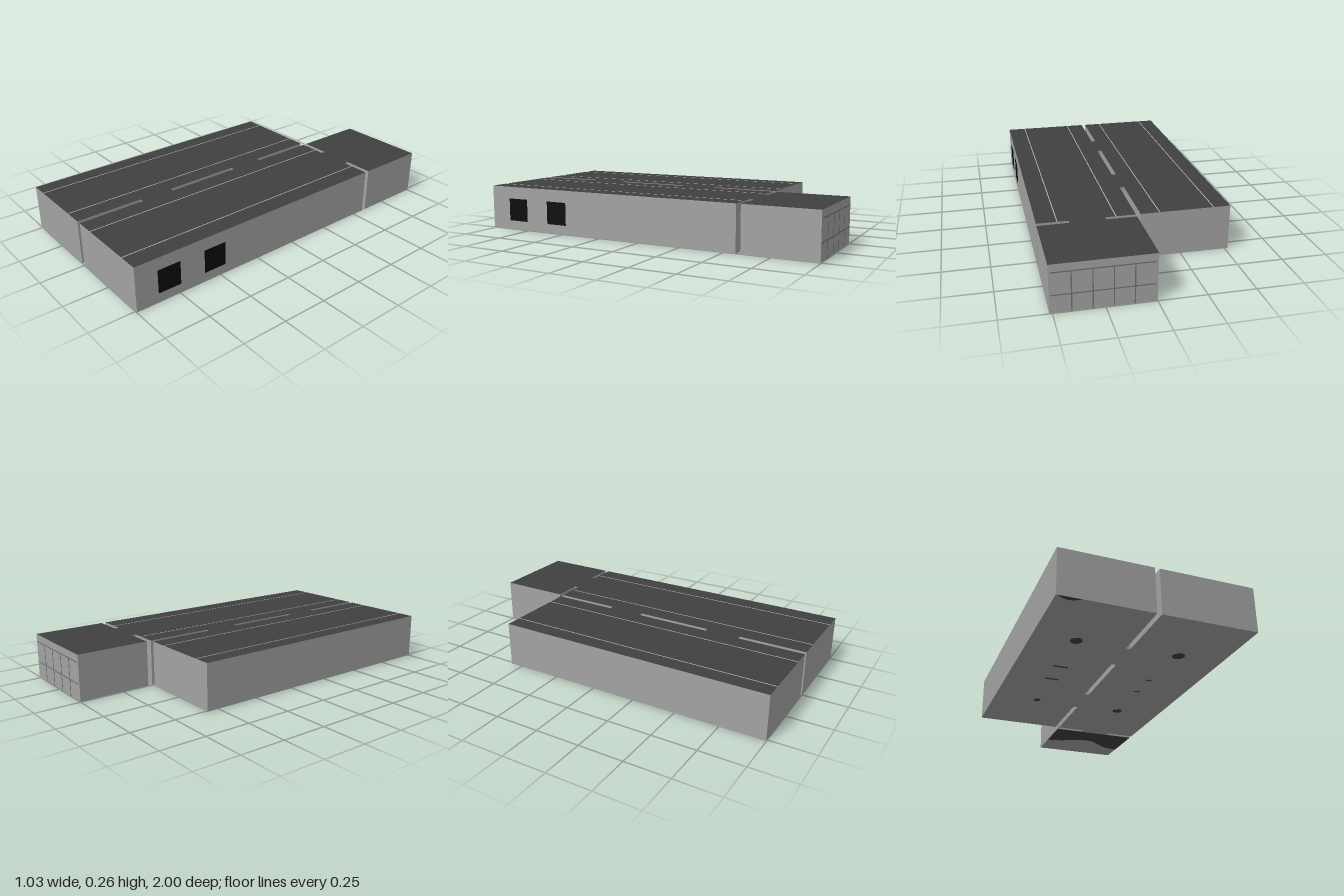
import * as THREE from 'three';

export function createModel() {
  const model = new THREE.Group();
  const mat = (name, color) => {
    const m = new THREE.MeshStandardMaterial({ color });
    m.name = name;
    return m;
  };
  const wall = mat('wall grey', 0xa3a3a3);
  const roof = mat('roof charcoal', 0x404040);
  const black = mat('window black', 0x0c0c0c);
  const seam = mat('seam grey', 0x707070);
  const pale = mat('joint pale grey', 0xb8b8b8);

  const BASE = 0.002, TOP = 0.254;

  const add = (name, geometry, material) => {
    const mesh = new THREE.Mesh(geometry, material);
    mesh.name = name;
    model.add(mesh);
    return mesh;
  };
  // box given by its limits
  const box = (name, x0, x1, y0, y1, z0, z1, material) => {
    const mesh = add(name, new THREE.BoxGeometry(x1 - x0, y1 - y0, z1 - z0), material);
    mesh.position.set((x0 + x1) / 2, (y0 + y1) / 2, (z0 + z1) / 2);
    return mesh;
  };

  // halls and the links between them: grey walls with a charcoal roof face
  const faces = [wall, wall, roof, wall, wall, wall];
  const block = (name, x0, x1, z0, z1) => box(name, x0, x1, BASE, TOP, z0, z1, faces);
  block('rightHall', -0.515, -0.025, -0.57, 1);
  block('leftHall', 0, 0.515, -0.57, 1);
  block('rearHall', 0, 0.515, -1, -0.595);
  block('sideLink', -0.025, 0, -0.2, 0);
  block('sideLink', -0.025, 0, 0.43, 0.625);
  block('rearLink', 0.16, 0.35, -0.595, -0.57);

  // long roof joints
  for (const x of [-0.422, -0.127, 0.105, 0.408])
    box('roofJoint', x - 0.0025, x + 0.0025, TOP - 0.002, TOP + 0.0006, -0.57, 1, pale);

  // small roof caps
  for (const [x, z] of [[-0.265, -0.17], [-0.265, 0.22], [-0.265, 0.64], [0.255, -0.17], [0.255, 0.63]])
    add('roofCap', new THREE.CylinderGeometry(0.014, 0.014, 0.004, 16), roof).position.set(x, TOP, z);

  // square side windows
  for (const z of [0.535, 0.81])
    box('sideWindow', 0.513, 0.5165, 0.055, 0.185, z - 0.065, z + 0.065, black);

  // panel seams on the rear wall
  const back = [-1.001, -0.999];
  for (const x of [0.11, 0.21, 0.31, 0.41])
    box('rearSeam', x - 0.003, x + 0.003, BASE, 0.21, ...back, seam);
  for (const y of [0.095, 0.212])
    box('rearSeam', 0.01, 0.505, y - 0.003, y + 0.003, ...back, seam);

  // dark round and slot-shaped patches on the underside
  for (const [x, z, r] of [[0.25, -0.17, 0.028], [0.265, 0.64, 0.034], [-0.29, 0.62, 0.032], [-0.265, -0.17, 0.02]])
    add('basePatch', new THREE.CylinderGeometry(r, r, 0.002, 20), roof).position.set(x, 0.001, z);
  for (const z of [0.145, 0.31]) {
    box('baseSlot', 0.23, 0.262, 0, BASE, z - 0.006, z + 0.006, roof);
    box('baseSlot', -0.312, -0.23, 0, BASE, z - 0.006, z + 0.006, roof);
  }

  // flat patches with curved outlines, facing down
  const underside = (shape) =>
    add('basePatch', new THREE.ShapeGeometry(shape, 16).rotateX(Math.PI / 2), roof).position.set(0, 0.001, 0);

  const rear = new THREE.Shape();
  rear.moveTo(0.515, -0.597);
  rear.lineTo(0.515, -0.86);
  rear.bezierCurveTo(0.36, -0.86, 0.34, -0.73, 0.24, -0.75);
  rear.bezierCurveTo(0.14, -0.77, 0.1, -0.82, 0, -0.82);
  rear.lineTo(0, -0.597);
  underside(rear);

  const corner = new THREE.Shape();
  corner.moveTo(-0.39, 1);
  corner.quadraticCurveTo(-0.45, 0.95, -0.505, 1);
  underside(corner);

  return model;
}
